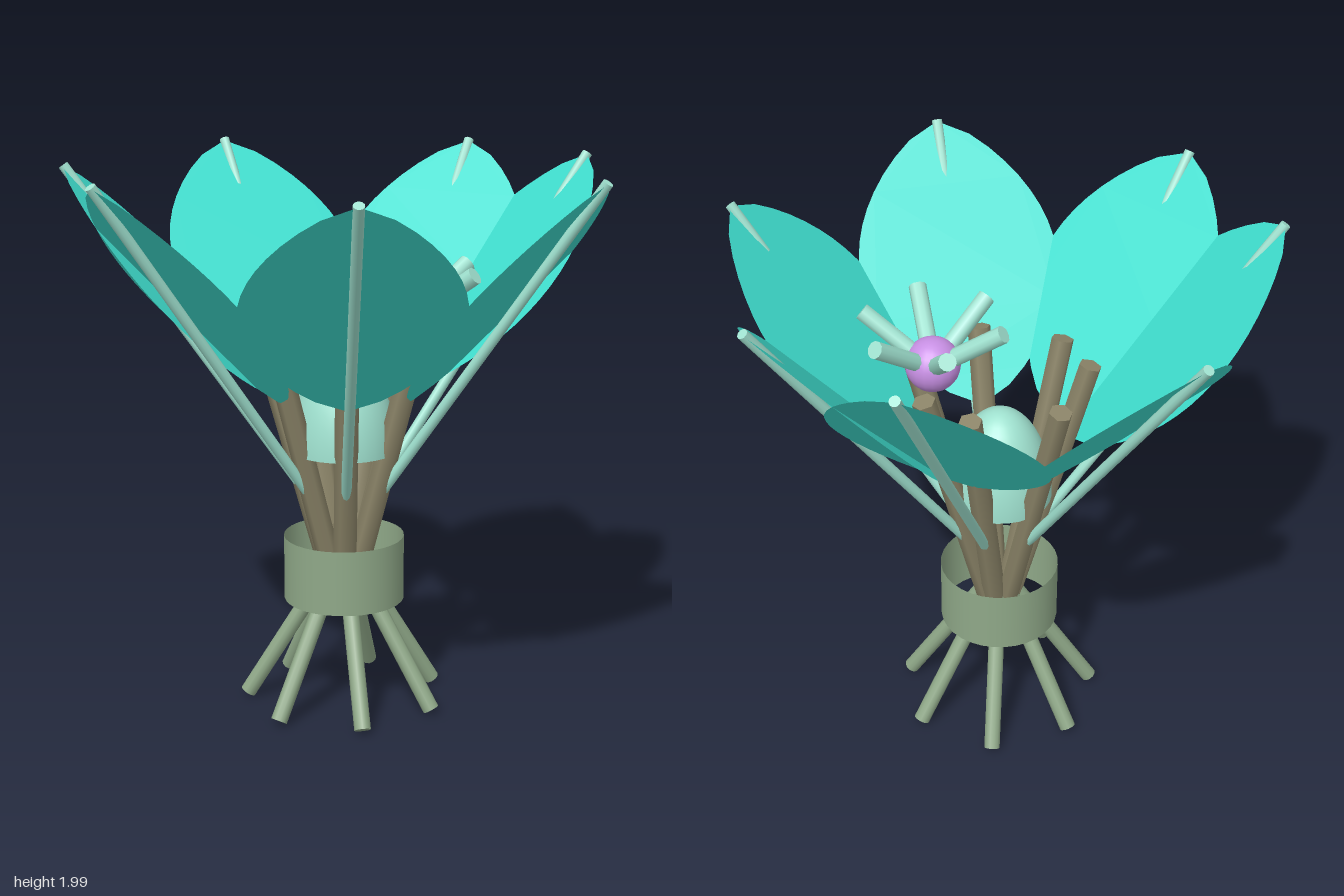
import * as THREE from 'three';

const material = (name, color, side = THREE.FrontSide) => {
  const m = new THREE.MeshStandardMaterial({ color, side });
  m.name = name;
  return m;
};

export function createModel() {
  const turquoise = material('petal turquoise', 0x40e0d0, THREE.DoubleSide);
  const aqua = material('pale aqua', 0xa0e2d0);
  const olive = material('stem olive brown', 0x8b8468);
  const sage = material('sage green', 0x8fa888, THREE.DoubleSide);
  const violet = material('pollen violet', 0xc890e4);

  const model = new THREE.Group();
  model.name = 'flower';
  const flower = new THREE.Group();
  flower.name = 'flowerParts';
  flower.position.set(-0.05, 0, 0.05);
  model.add(flower);

  const add = (parent, name, geometry, mat) => {
    const mesh = new THREE.Mesh(geometry, mat);
    mesh.name = name;
    parent.add(mesh);
    return mesh;
  };

  // Point at a given distance from the axis, height and bearing in degrees
  const polar = (r, y, deg) => {
    const a = THREE.MathUtils.degToRad(deg);
    return new THREE.Vector3(r * Math.cos(a), y, r * Math.sin(a));
  };

  // Straight rod between two points
  const rod = (parent, name, from, to, radius, sides, mat) => {
    const dir = to.clone().sub(from);
    const mesh = add(parent, name, new THREE.CylinderGeometry(radius, radius, dir.length(), sides), mat);
    mesh.position.copy(from).add(to).multiplyScalar(0.5);
    mesh.quaternion.setFromUnitVectors(new THREE.Vector3(0, 1, 0), dir.normalize());
  };

  // Band holding the stems, open at both ends
  add(flower, 'band', new THREE.CylinderGeometry(0.22, 0.22, 0.24, 32, 1, true), sage).position.y = 0.52;

  // Splayed legs, evenly spaced
  for (let i = 0; i < 7; i++) {
    const deg = (i * 360) / 7;
    rod(flower, 'leg', polar(0.36, 0.018, deg), polar(0.05, 0.52, deg), 0.03, 12, sage);
  }

  // Domed heart
  const dome = add(flower, 'heart',
    new THREE.SphereGeometry(0.19, 28, 12, 0, Math.PI * 2, 0, Math.PI / 2), aqua);
  dome.scale.y = 1.9;
  dome.position.y = 0.96;
  const floor = add(flower, 'heartBase', new THREE.CircleGeometry(0.19, 28), aqua);
  floor.rotation.x = Math.PI / 2;
  floor.position.y = 0.96;

  // Leaf-shaped petal outline, base at the origin
  const length = Math.hypot(0.71, 0.81);
  const halfWidth = (t) => 0.375 * Math.pow(Math.max(0, Math.sin(Math.PI * t)), 0.68);
  const outline = [];
  const steps = 18;
  for (let i = 0; i <= steps; i++) outline.push(new THREE.Vector2(halfWidth(i / steps), (length * i) / steps));
  for (let i = steps - 1; i > 0; i--) outline.push(new THREE.Vector2(-halfWidth(i / steps), (length * i) / steps));
  const petalGeometry = new THREE.ShapeGeometry(new THREE.Shape(outline));

  // Petals with their ribs and inner stems, at uneven bearings
  for (const deg of [-88, -51.5, 0, 59, 117.5, 154, -146.5]) {
    const base = polar(0.27, 1.17, deg);
    const along = polar(0.98, 1.98, deg).sub(base).normalize();
    const across = polar(1, 0, deg + 90);
    const normal = across.clone().cross(along);
    const petal = add(flower, 'petal', petalGeometry, turquoise);
    petal.quaternion.setFromRotationMatrix(new THREE.Matrix4().makeBasis(across, along, normal));
    petal.position.copy(base);

    rod(flower, 'rib', polar(0.125, 0.78, deg), polar(0.98, 1.985, deg), 0.019, 10, aqua);
    rod(flower, 'innerStem', polar(0.05, 0.5, deg), polar(0.32, 1.48, deg), 0.042, 6, olive);
  }

  // Pollen ball with six upturned prongs, off to one side
  const pollen = new THREE.Group();
  pollen.name = 'pollenCluster';
  pollen.position.set(0.25, 1.47, 0);
  flower.add(pollen);
  add(pollen, 'pollenBall', new THREE.SphereGeometry(0.1, 20, 14), violet);
  for (let i = 0; i < 6; i++) {
    rod(pollen, 'prong', polar(0.05, 0.02, i * 60), polar(0.26, 0.17, i * 60), 0.032, 10, aqua);
  }

  return model;
}
